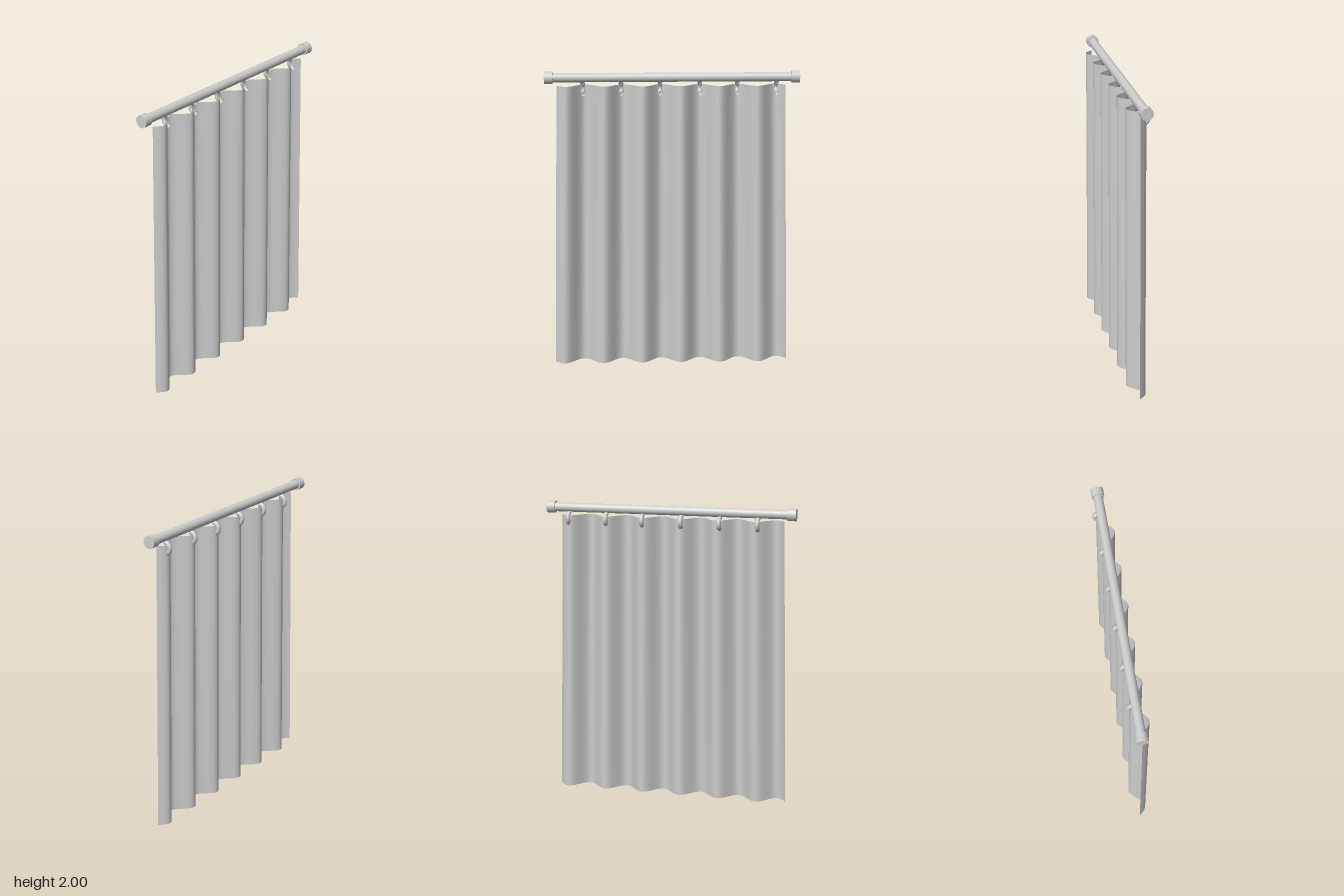
import * as THREE from 'three';

const ROD_Y = 1.96, ROD_Z = -0.006;

// Pleated sheet: six sine folds, spreading slightly towards the hem
function curtainGeometry() {
  const top = 1.91, folds = 6;
  const geo = new THREE.PlaneGeometry(1, 1, folds * 24, 16);
  const pos = geo.attributes.position;
  for (let i = 0; i < pos.count; i++) {
    const u = pos.getX(i) + 0.5, v = pos.getY(i) + 0.5;
    const width = THREE.MathUtils.lerp(1.595, 1.505, v);
    pos.setXYZ(i, -0.007 + (u - 0.5) * width, v * top,
      0.012 + 0.05 * Math.sin(u * folds * Math.PI * 2));
  }
  geo.computeVertexNormals();
  return geo;
}

export function createModel() {
  const group = new THREE.Group();
  const grey = new THREE.MeshStandardMaterial({ color: 0xcccccc, side: THREE.DoubleSide });
  grey.name = 'light grey';

  const add = (name, geo, x, y, z) => {
    const mesh = new THREE.Mesh(geo, grey);
    mesh.name = name;
    mesh.position.set(x, y, z);
    group.add(mesh);
  };

  // Rod with an end cap on each side
  add('rod', new THREE.CylinderGeometry(0.03, 0.03, 1.6, 32).rotateZ(Math.PI / 2), 0, ROD_Y, ROD_Z);
  const cap = new THREE.CylinderGeometry(0.04, 0.04, 0.055, 32).rotateZ(Math.PI / 2);
  add('leftEndCap', cap, 0.8125, ROD_Y, ROD_Z);
  add('rightEndCap', cap, -0.8125, ROD_Y, ROD_Z);

  // Half-ring hooks behind the backward folds
  const hook = new THREE.TorusGeometry(0.036, 0.015, 16, 24, Math.PI)
    .rotateZ(Math.PI / 2).rotateY(-Math.PI / 2);
  [-0.59, -0.337, -0.08, 0.183, 0.431, 0.69].forEach((x, i) =>
    add('hook' + (i + 1), hook, x, 1.889, -0.011));

  add('curtain', curtainGeometry(), 0, 0, 0);
  return group;
}
